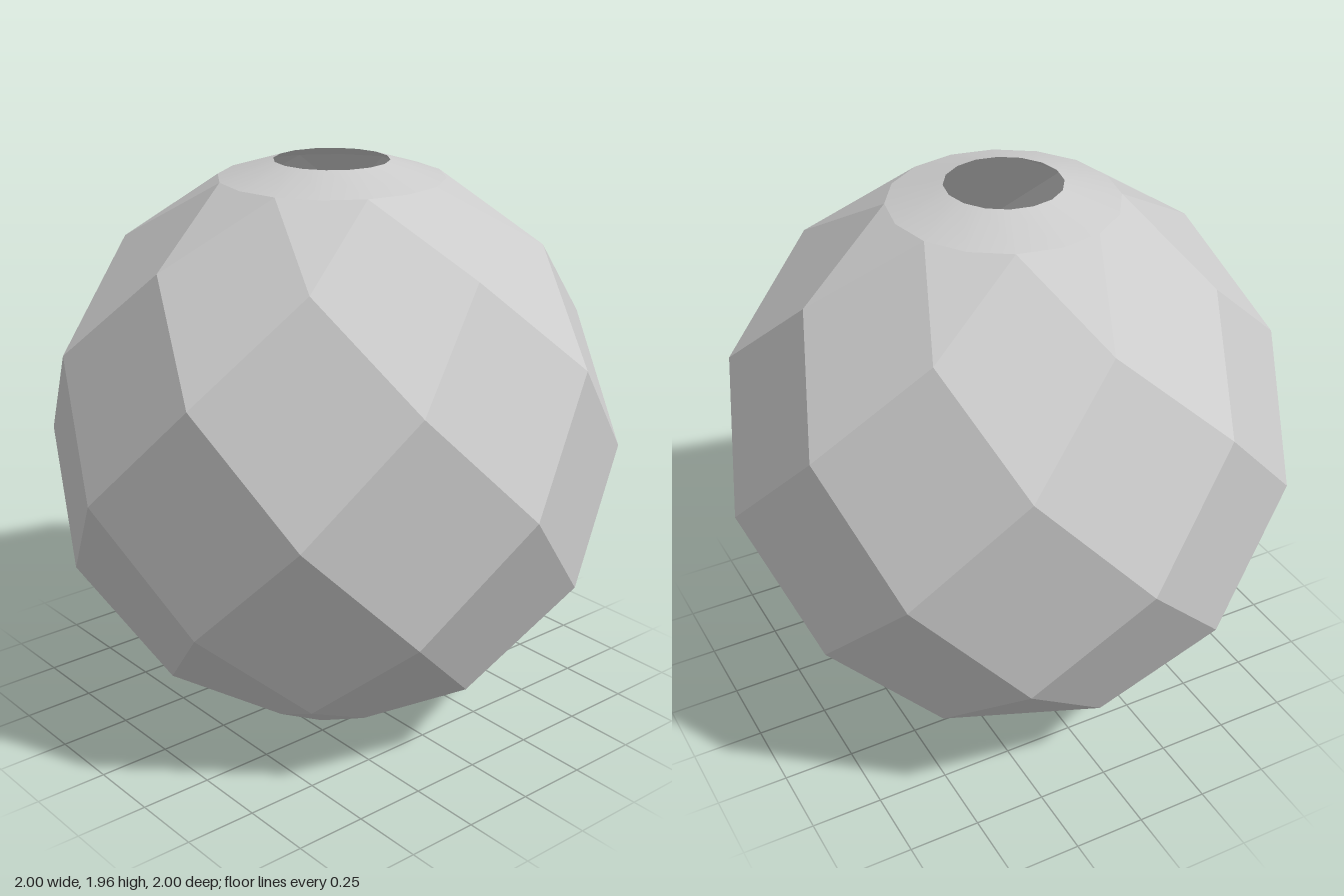
import * as THREE from 'three';

const STEP = Math.PI / 8;            // 16 meridians, rings every 22.5 degrees
const HOLE_LAT = 3.5;                // the rim of the hole, in steps
const CENTRE_Y = Math.sin(HOLE_LAT * STEP);

// Point on the unit sphere; lat and lon are counted in steps
function point(lat, lon) {
  const r = Math.cos(lat * STEP), a = lon * STEP;
  return new THREE.Vector3(r * Math.sin(a), Math.sin(lat * STEP), r * Math.cos(a));
}

// Facets: each a four-cornered loop (counter-clockwise), cut from corner 1 to corner 3,
// with a single shared normal so it reads as one flat cut
function facetGeometry(facets) {
  const positions = [], normals = [];
  for (const c of facets) {
    const n = c[2].clone().sub(c[0]).cross(c[3].clone().sub(c[1])).normalize();
    for (const i of [0, 1, 3, 1, 2, 3]) {
      positions.push(...c[i].toArray());
      normals.push(...n.toArray());
    }
  }
  const g = new THREE.BufferGeometry();
  g.setAttribute('position', new THREE.Float32BufferAttribute(positions, 3));
  g.setAttribute('normal', new THREE.Float32BufferAttribute(normals, 3));
  return g;
}

export function createModel() {
  const material = new THREE.MeshStandardMaterial({ color: 0xcccccc, side: THREE.DoubleSide });
  const bead = new THREE.Group();
  bead.name = 'facetedBead';

  // Diamond facets, staggered by half a cell from row to row
  const diamonds = [];
  for (let lat = -2; lat <= 2; lat++) {
    for (let k = 0; k < 8; k++) {
      const lon = 2 * k + (lat % 2 === 0 ? 1 : 0);
      diamonds.push([point(lat - 1, lon), point(lat, lon + 1), point(lat + 1, lon), point(lat, lon - 1)]);
    }
  }

  // Notched facets that close the gaps against the two collars
  for (let k = 0; k < 8; k++) {
    const lon = 2 * k;
    diamonds.push([point(3, lon - 1), point(2, lon), point(3, lon + 1), point(3, lon)]);
    diamonds.push([point(-3, lon + 1), point(-2, lon), point(-3, lon - 1), point(-3, lon)]);
  }
  const body = new THREE.Mesh(facetGeometry(diamonds), material);
  body.name = 'facetedBody';
  body.position.y = CENTRE_Y;
  bead.add(body);

  // Conical collars around the open holes at both ends
  for (const [name, lats] of [['topCollar', [3, HOLE_LAT]], ['bottomCollar', [-HOLE_LAT, -3]]]) {
    const profile = lats.map(l => new THREE.Vector2(Math.cos(l * STEP), Math.sin(l * STEP)));
    const collar = new THREE.Mesh(new THREE.LatheGeometry(profile, 16), material);
    collar.name = name;
    collar.position.y = CENTRE_Y;
    bead.add(collar);
  }
  return bead;
}
